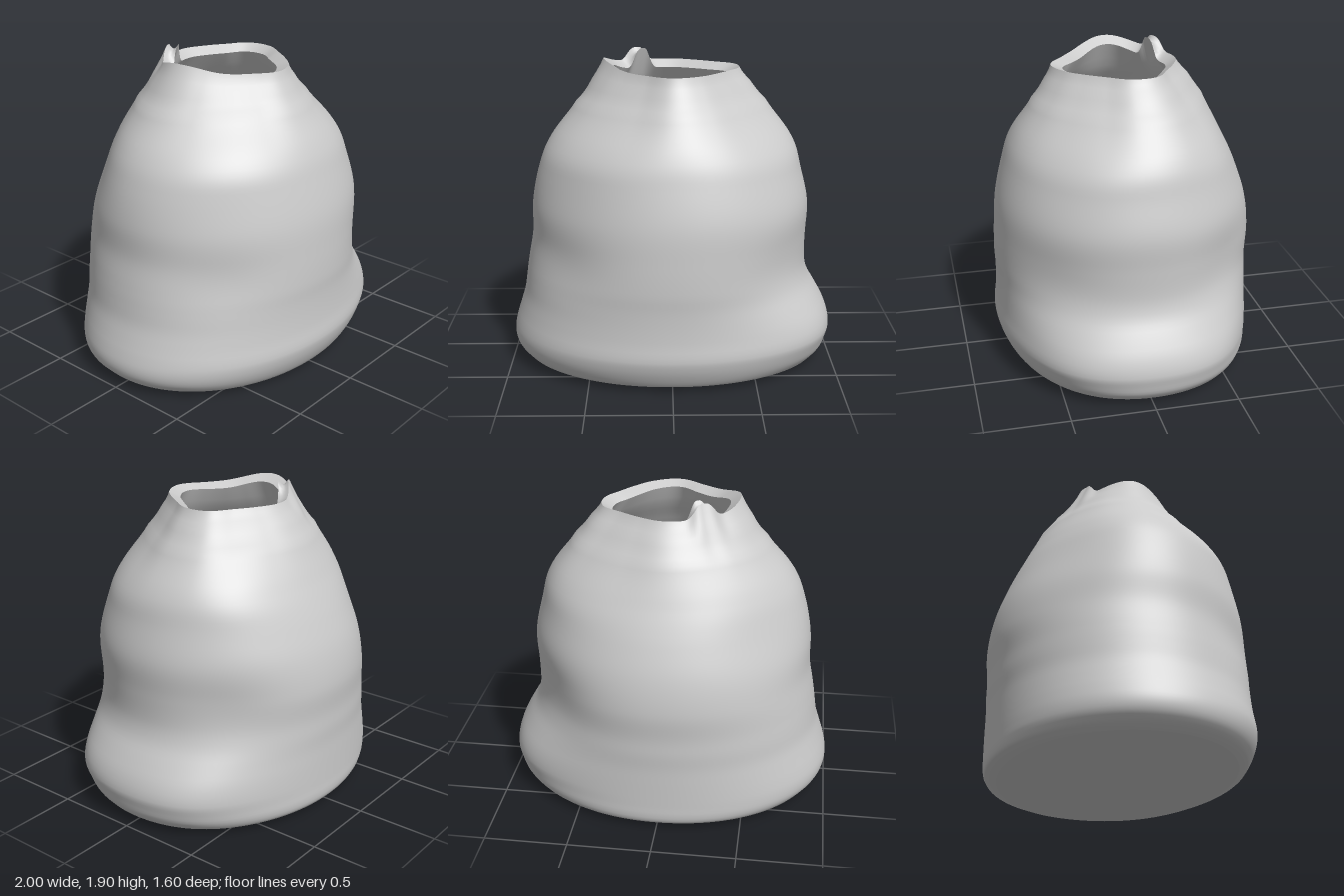
import * as THREE from 'three';

const SEG = 160;
const TOP = 1.81;
const WALL = 0.076;
const PLEAT = 4.12; // angle of the pinched fold at the mouth

// Side extents by height: y, right (-x), left (+x), back (-z), front (+z)
const PROFILE = [
  [0.02, 0.9, 0.89, 0.7, 0.68],
  [0.04, 0.94, 0.93, 0.77, 0.73],
  [0.09, 0.985, 0.97, 0.785, 0.76],
  [0.15, 1.0, 0.985, 0.785, 0.785],
  [0.22, 0.99, 0.995, 0.785, 0.8],
  [0.32, 0.96, 0.97, 0.785, 0.79],
  [0.42, 0.93, 0.92, 0.785, 0.785],
  [0.52, 0.915, 0.865, 0.79, 0.785],
  [0.62, 0.9, 0.84, 0.79, 0.79],
  [0.8, 0.87, 0.84, 0.8, 0.785],
  [1.0, 0.865, 0.845, 0.77, 0.77],
  [1.2, 0.825, 0.8, 0.7, 0.725],
  [1.38, 0.75, 0.745, 0.615, 0.665],
  [1.6, 0.585, 0.59, 0.51, 0.535],
  [1.72, 0.485, 0.49, 0.425, 0.455],
  [TOP, 0.41, 0.42, 0.35, 0.41],
];

// Mouth radius at sixteen equal angles, from +x round through +z
const MOUTH = [0.41, 0.36, 0.355, 0.385, 0.41, 0.355, 0.345, 0.37,
  0.41, 0.4, 0.365, 0.345, 0.35, 0.33, 0.345, 0.41];

const spline = (a, b, c, d, t) => b + 0.5 * t * (c - a + t * (2 * a - 5 * b + 4 * c - d + t * (3 * (b - c) + d - a)));

function extents(y) {
  const n = PROFILE.length - 1;
  let i = 0;
  while (i < n - 1 && y > PROFILE[i + 1][0]) i++;
  const t = THREE.MathUtils.clamp((y - PROFILE[i][0]) / (PROFILE[i + 1][0] - PROFILE[i][0]), 0, 1);
  return PROFILE[i].map((v, k) => spline(PROFILE[Math.max(i - 1, 0)][k], v,
    PROFILE[i + 1][k], PROFILE[Math.min(i + 2, n)][k], t));
}

function mouthRadius(angle) {
  const u = (angle / (Math.PI * 2)) * 16, i = Math.floor(u);
  const at = (k) => MOUTH[(k + 16) % 16];
  return spline(at(i - 1), at(i), at(i + 1), at(i + 2), u - i);
}

// Smooth bump around an angle (higher power gives a flatter top), and around a height
function bump(angle, centre, width, power = 2) {
  const d = Math.atan2(Math.sin(angle - centre), Math.cos(angle - centre)) / width;
  return Math.exp(-(Math.abs(d) ** power));
}
const hill = (y, centre, width) => Math.exp(-(((y - centre) / width) ** 2));

// Folds and dents: amount, angle, angular width, height, vertical width
const FOLDS = [
  [0.04, 0.6, 0.4, 0.28, 0.2],      // full lower front left
  [-0.02, 0.7, 0.4, 0.7, 0.18],     // tuck above it
  [-0.02, 0.78, 0.4, 1.4, 0.25],    // flattened front left shoulder
  [0.03, 5.75, 0.35, 0.25, 0.2],    // full lower back left
  [-0.03, 5.6, 0.35, 0.75, 0.2],    // hollow above it
  [0.045, 5.5, 0.45, 1.5, 0.25],    // round back left shoulder
  [-0.035, 2.36, 0.5, 1.1, 0.3],    // flattened front right side
  [-0.03, 2.4, 0.4, 0.7, 0.18],     // tuck below it
  [-0.05, 3.9, 0.45, 1.2, 0.3],     // flattened back right side
  [-0.05, PLEAT, 0.12, 1.84, 0.17], // pleat running down from the mouth
];

// Point on the cloth at a height and angle
function clothPoint(y, angle) {
  const [, right, left, back, front] = extents(y);
  const c = Math.cos(angle), s = Math.sin(angle);
  const oval = (e) => Math.sign(e) * Math.abs(e) ** 0.97;

  // Round belly turns into the uneven mouth
  const w = THREE.MathUtils.smoothstep(y, 1.25, TOP);
  const rimOval = Math.hypot(c * (c > 0 ? 0.42 : 0.41), s * (s > 0 ? 0.41 : 0.35));
  let k = 1 + w * (mouthRadius(angle) / rimOval - 1);
  for (const [amount, at, width, height, spread] of FOLDS) k += amount * bump(angle, at, width) * hill(y, height, spread);

  // Raised lip on the right and the knob of the pleat behind it
  const lift = hill(y, TOP, 0.08) * (0.055 * bump(angle, Math.PI, 0.5) + 0.085 * bump(angle, PLEAT, 0.2, 3));
  return [oval(c) * (c > 0 ? left : right) * k, y + lift, oval(s) * (s > 0 ? front : back) * k];
}

// Point on the lining, one wall thickness square to the cloth
function liningPoint(y, angle) {
  const [x, height, z] = clothPoint(y, angle);
  const [x0, , z0] = clothPoint(y - 0.05, angle);
  const r = Math.hypot(x, z);
  const slope = (r - Math.hypot(x0, z0)) / 0.05;
  const step = WALL / Math.hypot(1, slope);
  const shrink = 1 - step / r;
  return [x * shrink, height + step * slope, z * shrink];
}

// Lip from the outer edge (0) to the lining (1); the knob stays upright with a dip across it
function lipPoint(angle, t) {
  const knob = bump(angle, PLEAT, 0.2, 3);
  const outer = clothPoint(TOP, angle), inner = liningPoint(TOP, angle);
  inner[1] += knob * (outer[1] - inner[1]);
  const point = outer.map((v, i) => v + (inner[i] - v) * t);
  point[1] -= 0.03 * Math.sin(Math.PI * t) * knob;
  return point;
}

// Skin over successive rings
function loft(name, rings) {
  const positions = [], index = [];
  rings.forEach((ring, i) => {
    for (let j = 0; j < SEG; j++) {
      positions.push(...ring((j / SEG) * Math.PI * 2));
      if (i === rings.length - 1) continue;
      const a = i * SEG + j, b = i * SEG + ((j + 1) % SEG);
      index.push(a, a + SEG, b, b, a + SEG, b + SEG);
    }
  });
  const geometry = new THREE.BufferGeometry();
  geometry.setAttribute('position', new THREE.Float32BufferAttribute(positions, 3));
  geometry.setIndex(index);
  geometry.computeVertexNormals();
  const material = new THREE.MeshStandardMaterial({ color: 0xcccccc, side: THREE.DoubleSide });
  const mesh = new THREE.Mesh(geometry, material);
  mesh.name = name;
  return mesh;
}

export function createModel() {
  const sack = new THREE.Group();
  sack.name = 'sack';
  const heights = (from, to, n) => Array.from({ length: n + 1 }, (_, i) => from + ((to - from) * i) / n);
  const flat = (point, y, scale, height) => (a) => {
    const [x, , z] = point(y, a);
    return [x * scale, height, z * scale];
  };

  // Outer cloth
  sack.add(loft('sackBody', [...heights(0.02, 0.22, 10), ...heights(0.25, TOP, 52)]
    .map((y) => (a) => clothPoint(y, a))));

  // Flat underside, slightly lower in the middle
  sack.add(loft('sackBase', [0, 0.78, 1].map((s) => flat(clothPoint, 0.02, s, s === 1 ? 0.02 : 0))));

  // Thickness of the cloth at the mouth
  sack.add(loft('sackRim', heights(0, 1, 4).map((t) => (a) => lipPoint(a, t))));

  // Lining and inner floor
  const lining = heights(1.74, 0.16, 36).map((y) => (a) => liningPoint(y, a));
  lining.unshift((a) => lipPoint(a, 1));
  lining.push(flat(liningPoint, 0.16, 0.95, 0.09), flat(liningPoint, 0.16, 0.85, WALL), flat(liningPoint, 0.16, 0, WALL));
  sack.add(loft('sackLining', lining));

  return sack;
}
